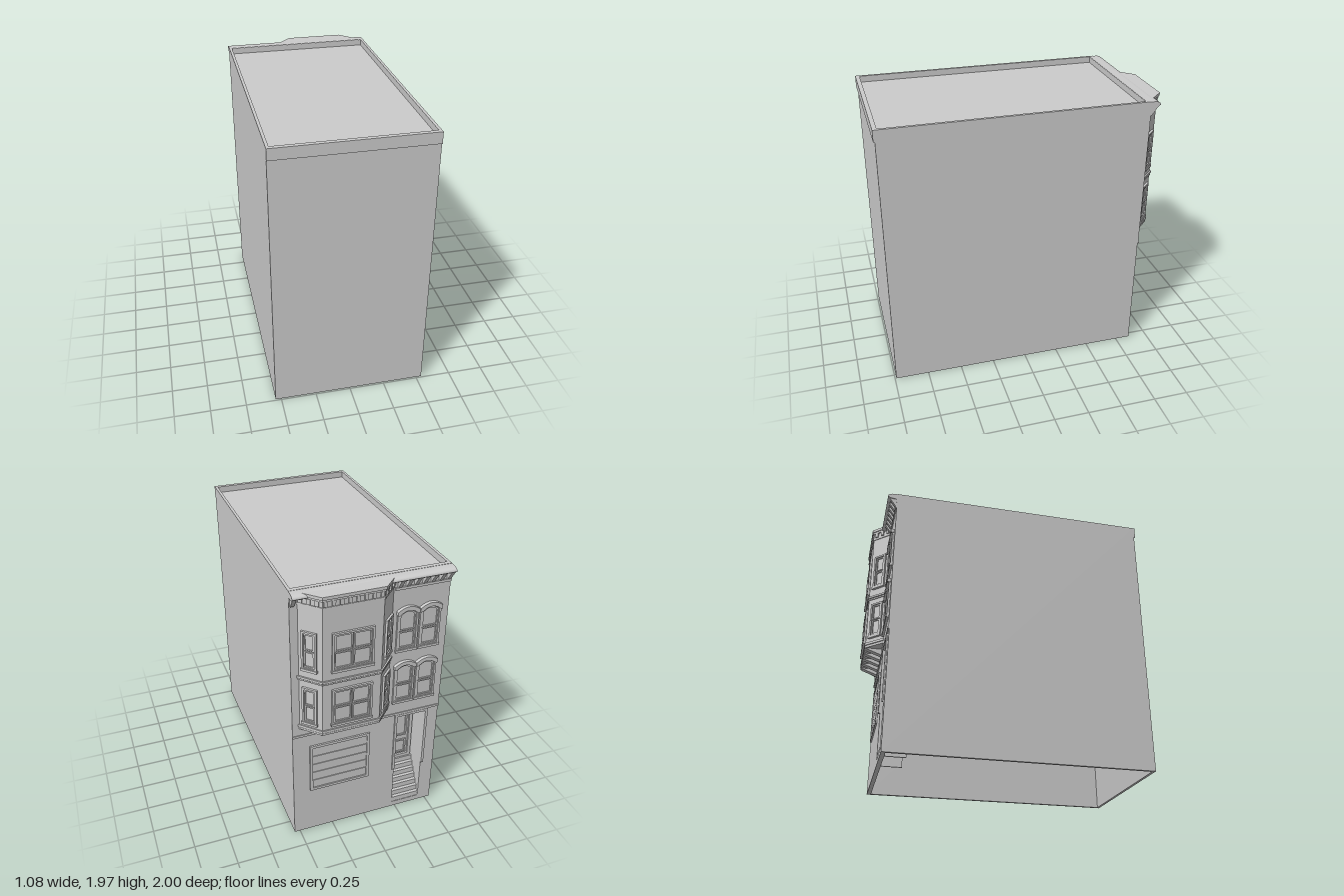
import * as THREE from 'three';

export function createModel() {
  const model = new THREE.Group();
  const stone = new THREE.MeshStandardMaterial({ color: 0xcccccc, side: THREE.DoubleSide });
  stone.name = 'plain grey';

  const add = (name, geo, parent = model) => {
    const mesh = new THREE.Mesh(geo, stone);
    mesh.name = name;
    parent.add(mesh);
    return mesh;
  };
  // Box given by its limits
  const box = (name, x0, x1, y0, y1, z0, z1, parent) =>
    add(name, new THREE.BoxGeometry(x1 - x0, y1 - y0, z1 - z0)
      .translate((x0 + x1) / 2, (y0 + y1) / 2, (z0 + z1) / 2), parent);
  const toShape = pts => new THREE.Shape(pts.map(p => new THREE.Vector2(...p)));
  const extrude = (shape, depth) =>
    new THREE.ExtrudeGeometry(shape, { depth, bevelEnabled: false, curveSegments: 12 });
  const rect = (x0, x1, y0, y1) => toShape([[x0, y0], [x1, y0], [x1, y1], [x0, y1]]);
  // Profile of (distance towards -z, y) swept along x
  const sweep = (name, shape, x0, x1) =>
    add(name, extrude(shape, x1 - x0).rotateY(Math.PI / 2).translate(x0, 0, 0));

  // Walls, with an opening for the entrance; open underneath
  const W = 0.54, TOP = 1.97, BACK = -0.86;
  const door = { x0: -0.44, x1: -0.225, y0: 0.04, y1: 0.845, z: -0.69 };
  box('leftWall', W - 0.02, W, 0, TOP, BACK, 0.99);
  box('rightWall', -W, -W + 0.02, 0, TOP, BACK, 0.99);
  box('plainEndWall', -W, W, 0, TOP, 0.97, 0.99);
  box('endCoping', -W, W, 1.89, TOP, 0.985, 1);
  box('roof', -W + 0.01, W - 0.01, 1.91, 1.925, BACK + 0.01, 0.98);
  const facade = rect(-W, W, 0, TOP);
  facade.holes.push(rect(door.x0, door.x1, door.y0, door.y1));
  add('facade', extrude(facade, 0.03).translate(0, 0, BACK));
  box('upperFacade', -W, W, 0.87, 1.9, BACK - 0.005, BACK);
  box('beltCourse', -W, W, 0.865, 0.882, BACK - 0.01, BACK);

  // Entrance recess, stairs and door
  const D = 0.01;
  box('recessLeftWall', door.x1, door.x1 + D, 0, door.y1, BACK + 0.02, door.z);
  box('recessRightWall', door.x0 - D, door.x0, 0, door.y1, BACK + 0.02, door.z);
  box('recessCeiling', door.x0 - D, door.x1 + D, door.y1, door.y1 + D, BACK + 0.02, door.z);
  box('recessEnd', door.x0 - D, door.x1 + D, 0.3, door.y1, door.z, door.z + D);
  const STEPS = 7, run = 0.165 / STEPS, rise = 0.28 / STEPS;
  const stair = [[-BACK - 0.003, 0.04]];
  for (let i = 0; i < STEPS; i++) {
    const u = -BACK - 0.003 - i * run;
    stair.push([u, 0.04 + (i + 1) * rise], [u - run, 0.04 + (i + 1) * rise]);
  }
  stair.push([-door.z, 0.28]);
  sweep('stairs', toShape(stair), door.x0, door.x1);

  // Frame with a rectangular or arched top, facing local +z
  const frame = (name, x0, x1, y0, y1, t, depth, parent, arch = 0) => {
    const make = (a, b, c, d) => {
      const s = new THREE.Shape().moveTo(a, c);
      s.lineTo(b, c).lineTo(b, d);
      if (arch) s.quadraticCurveTo((a + b) / 2, d + 2 * arch, a, d);
      else s.lineTo(a, d);
      return s.closePath();
    };
    const s = make(x0, x1, y0, y1);
    s.holes.push(make(x0 + t, x1 - t, y0 + t, y1 - t));
    return add(name, extrude(s, depth), parent);
  };
  const facing = (name, x, y, z, turn = 0) => {
    const g = new THREE.Group();
    g.name = name;
    g.position.set(x, y, z);
    g.rotation.y = Math.PI + turn;
    model.add(g);
    return g;
  };

  // Door leaf and trim
  const leaf = facing('door', (door.x0 + door.x1) / 2, 0, door.z);
  frame('doorFrame', -0.1, 0.1, 0.32, 0.82, 0.025, 0.015, leaf);
  frame('doorPane', -0.06, 0.06, 0.52, 0.78, 0.012, 0.01, leaf);
  frame('doorPanel', -0.06, 0.06, 0.36, 0.48, 0.012, 0.01, leaf);
  for (const x of [door.x0 - 0.018, door.x1])
    box('doorTrim', x, x + 0.018, 0.37, 0.863, BACK - 0.01, BACK);
  box('doorLintel', door.x0 - 0.018, door.x1 + 0.018, door.y1, 0.863, BACK - 0.01, BACK);

  // Garage door with slats
  const garage = facing('garageDoor', 0.2, 0.37, BACK);
  frame('garageFrame', -0.22, 0.22, 0, 0.395, 0.02, 0.012, garage);
  for (let i = 0; i < 5; i++)
    box('garageSlat', -0.2, 0.2, 0.022 + i * 0.071, 0.086 + i * 0.071, 0, 0.005, garage);

  // Window: casing, sill and a grid of sashes
  const windowUnit = (x, y, z, turn, w, h, cols, rows, arch = 0) => {
    const g = facing('window', x, y, z, turn);
    const t = 0.014, cw = (w - 2 * t) / cols, ch = (h - 2 * t) / rows;
    frame('casing', -w / 2, w / 2, 0, h, t, 0.014, g, arch);
    box('sill', -w / 2 - 0.004, w / 2 + 0.004, -0.01, 0.008, 0, 0.018, g);
    for (let c = 0; c < cols; c++) for (let r = 0; r < rows; r++) {
      const a = -w / 2 + t + c * cw, b = t + r * ch;
      frame('sash', a + 0.003, a + cw - 0.003, b + 0.003, b + ch - 0.003, 0.009, 0.008, g,
        r === rows - 1 ? arch * 0.8 : 0);
    }
    if (arch) {
      const hood = new THREE.Shape().moveTo(-w / 2 - 0.004, h - 0.015);
      hood.lineTo(-w / 2 - 0.004, h + 0.012);
      hood.quadraticCurveTo(0, h + 0.012 + 2 * arch, w / 2 + 0.004, h + 0.012);
      hood.lineTo(w / 2 + 0.004, h - 0.015).lineTo(w / 2 - 0.01, h - 0.015);
      hood.quadraticCurveTo(0, h - 0.015 + 2 * arch, -w / 2 + 0.01, h - 0.015);
      add('archHood', extrude(hood, 0.024), g);
    }
  };

  // Bay: plan outline grown by o, raised from y0 to y1
  const C = 0.172, FRONT = 0.985;
  const baySlab = (name, o, y0, y1) => {
    const a = 0.325 + 1.414 * o, b = 0.2 + 0.414 * o;
    const s = toShape([[C - a, 0.855], [C + a, 0.855], [C + b, FRONT + o], [C - b, FRONT + o]]);
    return add(name, extrude(s, y1 - y0).rotateX(-Math.PI / 2).translate(0, y0, 0));
  };
  baySlab('bay', 0, 0.955, 1.93);
  baySlab('bayBase', 0.004, 0.94, 0.955);
  baySlab('baySill', 0.008, 0.96, 0.978);
  baySlab('bayBelt', 0.006, 1.335, 1.345);
  baySlab('bayBeltTop', 0.01, 1.35, 1.365);
  baySlab('bayFrieze', 0.005, 1.875, 1.89);
  baySlab('bayCrownLower', 0.008, 1.93, 1.945);
  baySlab('bayCrown', 0.015, 1.945, 1.966);

  // Sloping corbels below the bay
  const corbel = toShape([[0.855, 0.89], [0.98, 0.935], [0.98, 0.95], [0.855, 0.95]]);
  for (let i = 0; i < 5; i++) {
    const x = C + (i - 2) * 0.093;
    sweep('corbel', corbel, x - 0.022, x + 0.022);
  }

  // Windows of both upper floors
  for (const y of [1.015, 1.43]) {
    windowUnit(C, y, -FRONT, 0, 0.28, 0.275, 2, 2);
    for (const s of [-1, 1])
      windowUnit(C + s * 0.2625, y, -0.9225, -s * Math.PI / 4, 0.105, 0.275, 1, 2);
  }
  for (const y of [0.985, 1.4]) for (const x of [-0.25, -0.41])
    windowUnit(x, y, BACK - 0.005, 0, 0.148, 0.285, 1, 2, 0.03);

  // Rounded cornice along the whole facade
  const crown = new THREE.Shape().moveTo(0.828, 1.9);
  crown.lineTo(0.828, 1.968).lineTo(0.88, 1.968);
  crown.quadraticCurveTo(0.932, 1.968, 0.932, 1.942);
  crown.lineTo(0.915, 1.93).lineTo(0.87, 1.925).lineTo(0.87, 1.9);
  sweep('cornice', crown, -W, W);
  box('frieze', -W, C - 0.325, 1.85, 1.868, BACK - 0.015, BACK);

  // Wedge brackets under the straight cornice
  const bracket = toShape([[0.86, 1.868], [0.875, 1.868], [0.922, 1.935], [0.86, 1.935]]);
  for (let i = 0; i < 7; i++) sweep('bracket', bracket, -0.535 + i * 0.057, -0.51 + i * 0.057);
  sweep('bracket', bracket, 0.51, 0.535);

  // Dentils around the bay
  for (let i = 0; i < 8; i++) {
    const x = C - 0.182 + i * 0.052;
    box('dentil', x - 0.012, x + 0.012, 1.895, 1.932, -FRONT - 0.01, -FRONT);
  }
  for (const s of [-1, 1]) {
    const g = facing('bayDentils', C + s * 0.2625, 0, -0.9225, -s * Math.PI / 4);
    for (const x of [-0.055, 0, 0.055]) box('dentil', x - 0.012, x + 0.012, 1.895, 1.932, 0, 0.01, g);
  }
  return model;
}
